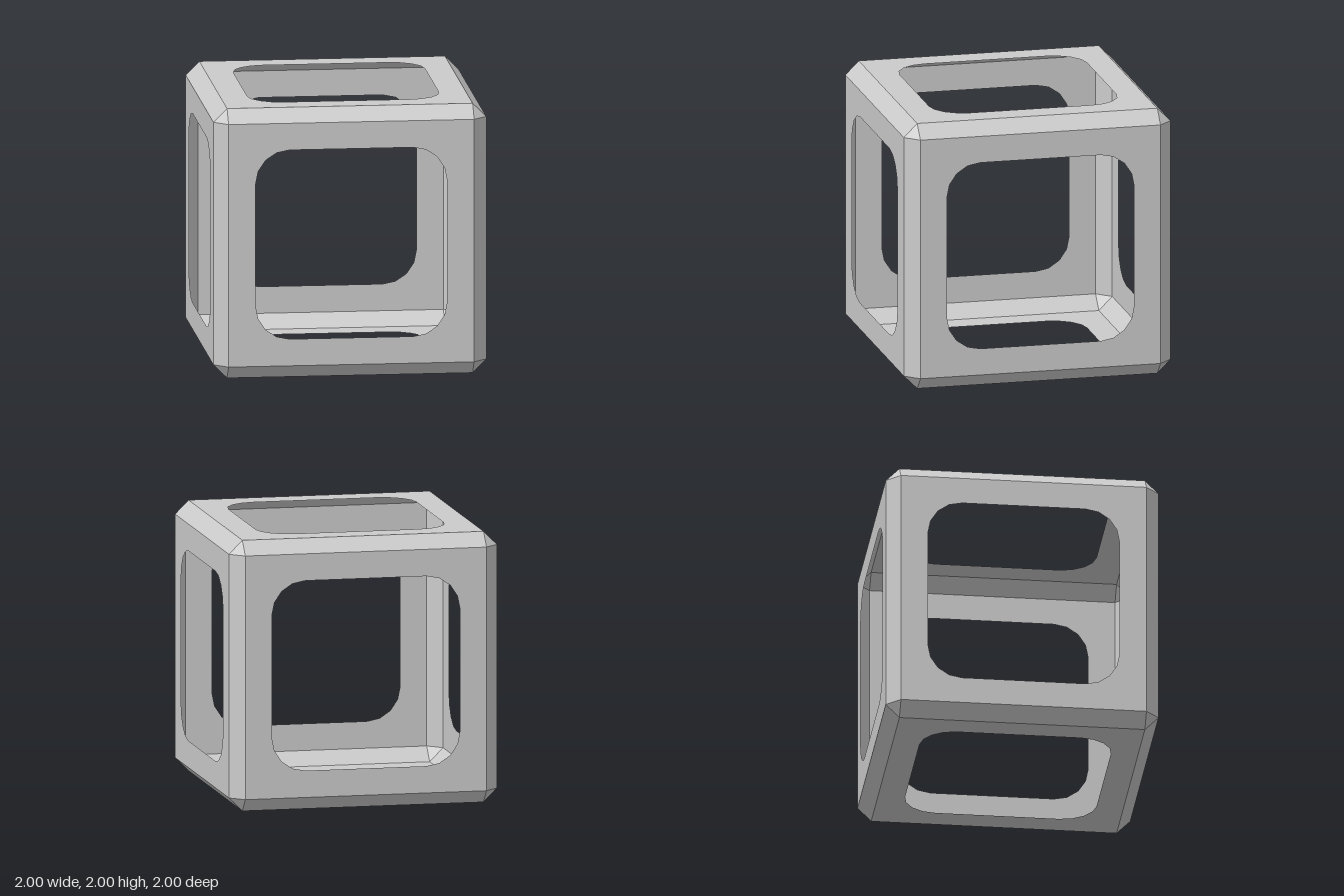
import * as THREE from 'three';

const HALF = 1;       // half the cube
const FLAT = 0.9;     // half of a face inside its bevels
const HOLE = 0.702;   // half of a window
const RADIUS = 0.25;  // window corner radius

// Square face with a rounded window
function panelGeometry() {
  const shape = new THREE.Shape([[-1, -1], [1, -1], [1, 1], [-1, 1]]
    .map(([x, y]) => new THREE.Vector2(x * FLAT, y * FLAT)));
  const hole = new THREE.Path();
  const c = HOLE - RADIUS;
  [[1, 1], [-1, 1], [-1, -1], [1, -1]].forEach(([x, y], i) =>
    hole.absarc(x * c, y * c, RADIUS, i * Math.PI / 2, (i + 1) * Math.PI / 2, false));
  shape.holes.push(hole);
  return new THREE.ShapeGeometry(shape, 2).translate(0, 0, HALF);
}

// Small triangle closing the corner between three bevels
function cornerGeometry() {
  const g = new THREE.BufferGeometry();
  g.setAttribute('position', new THREE.Float32BufferAttribute(
    [HALF, FLAT, FLAT, FLAT, HALF, FLAT, FLAT, FLAT, HALF], 3));
  g.computeVertexNormals();
  return g;
}

export function createModel() {
  const model = new THREE.Group();
  model.name = 'windowedCube';
  const material = new THREE.MeshStandardMaterial({
    color: 0xcccccc, flatShading: true, side: THREE.DoubleSide,
  });
  const quarter = Math.PI / 2;

  const add = (parent, name, geometry, rx, ry) => {
    const mesh = new THREE.Mesh(geometry, material);
    mesh.name = name;
    mesh.rotation.set(rx, ry, 0);
    parent.add(mesh);
  };

  // Six thin face panels
  const panel = panelGeometry();
  ['front', 'left', 'back', 'right'].forEach((side, i) =>
    add(model, side + 'Panel', panel, 0, i * quarter));
  add(model, 'topPanel', panel, -quarter, 0);
  add(model, 'bottomPanel', panel, quarter, 0);

  // Twelve edge bevels: four around each axis
  const bevel = new THREE.PlaneGeometry(2 * FLAT, (HALF - FLAT) * Math.SQRT2)
    .translate(0, 0, (HALF + FLAT) / 2 * Math.SQRT2);
  [['x', 0, 0], ['y', 0, quarter], ['z', quarter, 0]].forEach(([axis, ry, rz]) => {
    const ring = new THREE.Group();
    ring.name = axis + 'EdgeBevels';
    ring.rotation.set(0, ry, rz);
    for (let i = 0; i < 4; i++) add(ring, 'edgeBevel', bevel, (i + 0.5) * quarter, 0);
    model.add(ring);
  });

  // Eight corner triangles
  const corner = cornerGeometry();
  for (const flip of [0, Math.PI]) {
    for (let i = 0; i < 4; i++) add(model, 'cornerBevel', corner, flip, i * quarter);
  }

  model.position.y = HALF;
  const root = new THREE.Group();
  root.add(model);
  return root;
}
